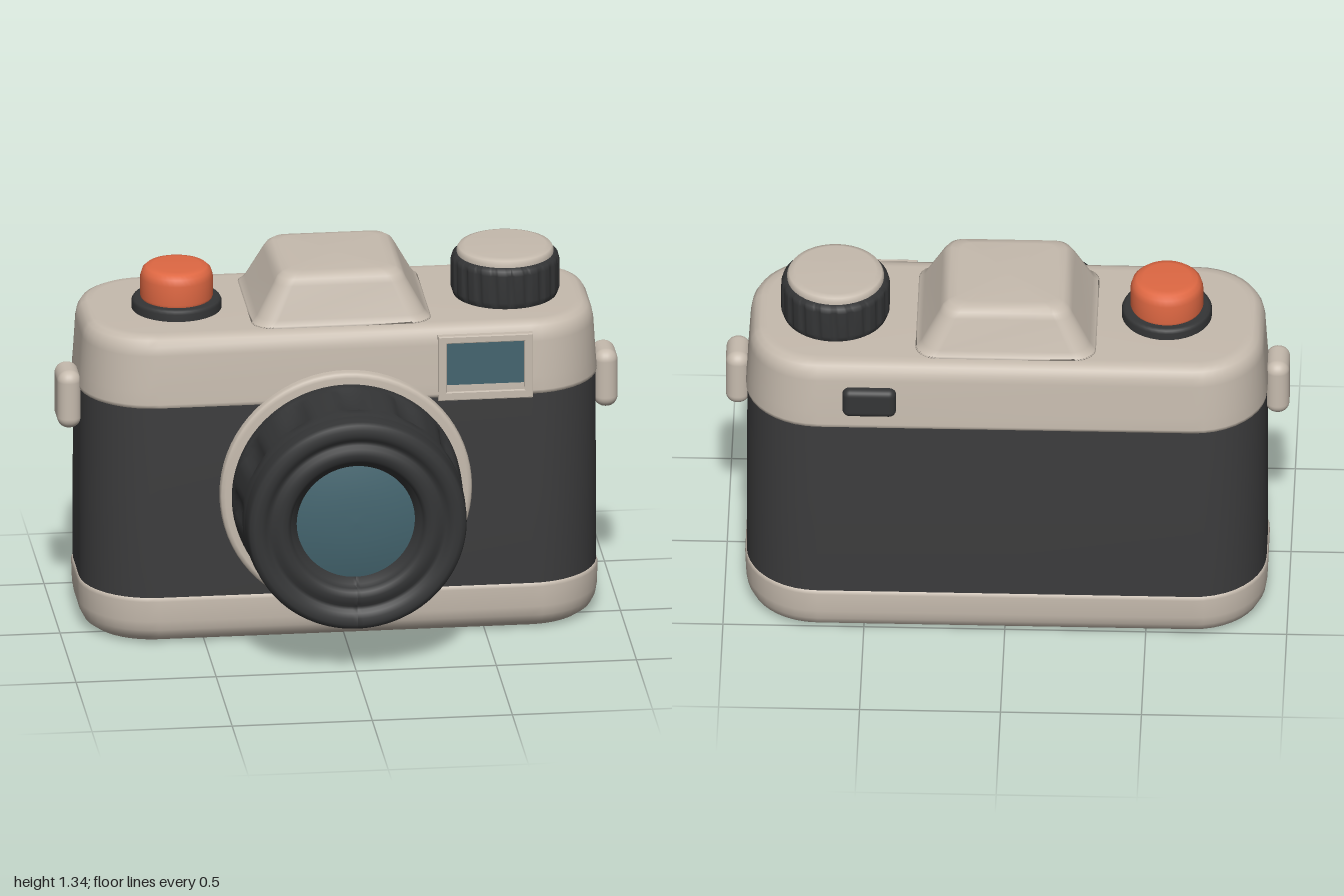
import * as THREE from 'three';
import { RoundedBoxGeometry } from 'three/addons/geometries/RoundedBoxGeometry.js';

const mat = (name, color) => {
  const m = new THREE.MeshStandardMaterial({ color });
  m.name = name;
  return m;
};

// Stack of rounded rectangles, levels = [halfX, halfZ, cornerRadius, y], closed at both ends
function loft(levels, steps = 10) {
  const pos = [], idx = [], n = 4 * (steps + 1);
  for (const [hx, hz, r, y] of levels) {
    for (let k = 0; k < 4; k++) {
      const sx = k === 0 || k === 3 ? 1 : -1, sz = k < 2 ? 1 : -1;
      for (let s = 0; s <= steps; s++) {
        const a = (k + s / steps) * Math.PI / 2;
        pos.push(sx * (hx - r) + r * Math.cos(a), y, sz * (hz - r) + r * Math.sin(a));
      }
    }
  }
  const top = levels.length - 1;
  for (let i = 0; i < top; i++) {
    for (let j = 0; j < n; j++) {
      const a = i * n + j, c = i * n + (j + 1) % n;
      idx.push(a, a + n, c, c, a + n, c + n);
    }
  }
  const bottomCentre = pos.length / 3;
  pos.push(0, levels[0][3], 0, 0, levels[top][3], 0);
  for (let j = 0; j < n; j++) {
    const k = (j + 1) % n;
    idx.push(bottomCentre, j, k, bottomCentre + 1, top * n + k, top * n + j);
  }
  const g = new THREE.BufferGeometry();
  g.setAttribute('position', new THREE.Float32BufferAttribute(pos, 3));
  g.setIndex(idx);
  g.computeVertexNormals();
  return g;
}

// Body slab from [inset, y] pairs
const slab = (pairs) => loft(pairs.map(([i, y]) => [0.925 - i, 0.35 - i, 0.26 - i, y]));

const lathe = (pts, seg = 64) =>
  new THREE.LatheGeometry(pts.map(([r, y]) => new THREE.Vector2(r, y)), seg);

// Press grip grooves into a lathe between two heights
function flute(g, count, depth, y0, y1) {
  const p = g.attributes.position;
  for (let i = 0; i < p.count; i++) {
    const x = p.getX(i), y = p.getY(i), z = p.getZ(i);
    if (y < y0 || y > y1 || Math.hypot(x, z) < 0.15) continue;
    const w = THREE.MathUtils.smoothstep(Math.cos(Math.atan2(z, x) * count), 0, 0.7);
    p.setX(i, x * (1 - depth * w));
    p.setZ(i, z * (1 - depth * w));
  }
  g.computeVertexNormals();
  return g;
}

export function createModel() {
  const metal = mat('warm grey metal', 0xc6bbae);
  const leather = mat('dark covering', 0x3c3c3d);
  const black = mat('black rubber', 0x343536);
  const orange = mat('orange button', 0xdf6843);
  const glass = mat('blue glass', 0x44656f);

  const model = new THREE.Group();
  const add = (name, geo, material, x = 0, y = 0, z = 0, parent = model) => {
    const m = new THREE.Mesh(geo, material);
    m.name = name;
    m.position.set(x, y, z);
    parent.add(m);
    return m;
  };
  const Z = -0.185;

  // Body in three layers
  add('basePlate', slab([[0.075, 0], [0.05, 0.005], [0.022, 0.025], [0.006, 0.055], [0, 0.09],
    [-0.003, 0.165], [0.002, 0.178], [0.012, 0.182]]), metal, 0, 0, Z);
  add('bodyWrap', slab([[0.01, 0.17], [0.003, 0.18], [0.003, 0.5], [0.005, 0.9], [0.012, 0.91]]), leather, 0, 0, Z);
  add('topPlate', slab([[0.012, 0.893], [0.002, 0.897], [0, 0.91], [0.004, 0.96], [0.012, 1.09],
    [0.018, 1.12], [0.032, 1.143], [0.052, 1.153], [0.08, 1.156]]), metal, 0, 0, Z);

  // Prism hump
  add('prismHump', loft([[0.335, 0.29, 0.07, 1.145], [0.315, 0.275, 0.07, 1.16], [0.298, 0.265, 0.07, 1.18],
    [0.235, 0.232, 0.06, 1.295], [0.222, 0.222, 0.06, 1.317], [0.203, 0.205, 0.05, 1.33],
    [0.17, 0.175, 0.04, 1.336]]), metal, 0, 0, Z);

  // Lens, built along its own axis and turned to the front
  const lens = new THREE.Group();
  lens.name = 'lens';
  lens.position.set(0, 0.563, 0);
  lens.rotation.x = Math.PI / 2;
  model.add(lens);
  add('mountRing', lathe([[0.45, 0.13], [0.45, 0.18], [0.445, 0.19], [0.432, 0.196], [0.35, 0.196]], 72),
    metal, 0, 0, 0, lens);
  const barrel = lathe([[0.405, 0.18], [0.41, 0.2], [0.409, 0.235], [0.408, 0.25], [0.403, 0.33],
    [0.398, 0.4], [0.397, 0.42], [0.396, 0.46], [0.391, 0.468], [0.394, 0.476], [0.391, 0.53],
    [0.384, 0.547], [0.368, 0.555], [0.345, 0.554], [0.328, 0.546], [0.318, 0.534], [0.305, 0.534],
    [0.292, 0.545], [0.27, 0.548], [0.25, 0.543], [0.238, 0.53], [0.232, 0.505], [0.212, 0.495], [0.208, 0.46]], 120);
  add('barrel', flute(barrel, 12, 0.045, 0.245, 0.405), black, 0, 0, 0, lens);
  add('frontGlass', lathe([[0.212, 0.485], [0.16, 0.496], [0.1, 0.503], [0.05, 0.506], [0, 0.507]], 48),
    glass, 0, 0, 0, lens);

  // Shutter release
  add('shutterCollar', lathe([[0.16, 1.14], [0.16, 1.182], [0.155, 1.192], [0.145, 1.196], [0, 1.196]], 40),
    black, -0.565, 0, -0.17);
  add('shutterButton', lathe([[0.124, 1.19], [0.13, 1.205], [0.129, 1.275], [0.122, 1.298], [0.108, 1.311],
    [0.085, 1.316], [0, 1.316]], 40), orange, -0.565, 0, -0.17);

  // Winding dial
  const dial = lathe([[0.18, 1.145], [0.188, 1.165], [0.193, 1.18], [0.193, 1.28], [0.188, 1.298],
    [0.172, 1.307], [0, 1.307]], 160);
  add('windDial', flute(dial, 20, 0.035, 1.17, 1.29), black, 0.61, 0, -0.19);
  add('dialCap', lathe([[0.172, 1.3], [0.172, 1.318], [0.165, 1.33], [0.145, 1.336], [0, 1.337]], 40),
    metal, 0.61, 0, -0.19);

  // Viewfinder window with frame
  const frame = new THREE.Shape();
  frame.moveTo(-0.165, -0.12).lineTo(0.165, -0.12).lineTo(0.165, 0.115).lineTo(-0.165, 0.115).closePath();
  const hole = new THREE.Path();
  hole.moveTo(-0.142, -0.095).lineTo(-0.142, 0.095).lineTo(0.142, 0.095).lineTo(0.142, -0.095).closePath();
  frame.holes.push(hole);
  add('viewfinderFrame', new THREE.ExtrudeGeometry(frame, { depth: 0.02, bevelEnabled: true,
    bevelThickness: 0.004, bevelSize: 0.004, bevelSegments: 2 }), metal, 0.5, 1.008, 0.146);
  add('viewfinderGlass', new THREE.BoxGeometry(0.29, 0.195, 0.009), glass, 0.5, 1.008, 0.158);

  // Rear eyepiece
  add('eyepiece', new RoundedBoxGeometry(0.19, 0.115, 0.06, 4, 0.025), black, 0.48, 1.008, -0.526);

  // Strap lugs
  for (const [side, name] of [[1, 'leftStrapLug'], [-1, 'rightStrapLug']]) {
    add(name, new RoundedBoxGeometry(0.085, 0.215, 0.16, 5, 0.04), metal, side * 0.9575, 0.853, -0.132);
  }

  return model;
}
